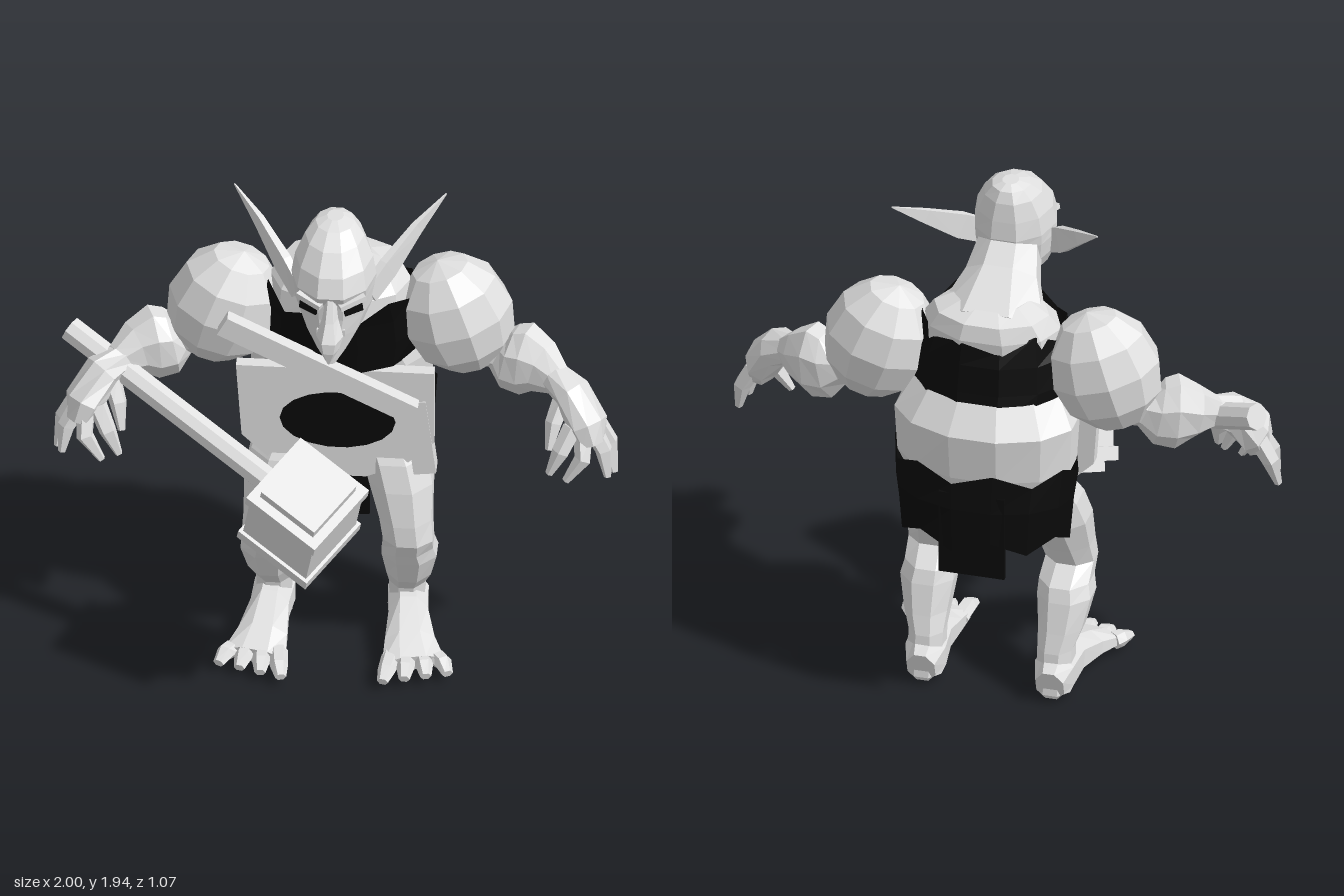
import * as THREE from 'three';

const grey = new THREE.MeshStandardMaterial({ color: 0xe0e0e0, flatShading: true, side: THREE.DoubleSide });
grey.name = 'pale grey';
const black = new THREE.MeshStandardMaterial({ color: 0x0a0a0a, flatShading: true, side: THREE.DoubleSide });
black.name = 'black cloth';

const V = (x, y, z) => new THREE.Vector3(x, y, z);

// Skin elliptical rings [x, y, z, ru, rv] placed along a path; u follows ref.
function loft(rings, { n = 8, ref = V(1, 0, 0), flat = false, caps = true, bend = null } = {}) {
  const c = rings.map(r => V(r[0], r[1], r[2]));
  const loops = rings.map((r, i) => {
    const t = flat ? V(0, 1, 0)
      : c[Math.min(i + 1, c.length - 1)].clone().sub(c[Math.max(i - 1, 0)]).normalize();
    const u = ref.clone().addScaledVector(t, -ref.dot(t)).normalize();
    const v = u.clone().cross(t);
    return Array.from({ length: n }, (_, j) => {
      const a = (j + 0.5) / n * Math.PI * 2;
      const p = c[i].clone().addScaledVector(u, r[3] * Math.sin(a)).addScaledVector(v, r[4] * Math.cos(a));
      if (bend) bend(p, i, j, a);
      return p;
    });
  });
  const pos = [];
  const tri = (...ps) => ps.forEach(p => pos.push(p.x, p.y, p.z));
  const last = loops.length - 1;
  for (let j = 0; j < n; j++) {
    const k = (j + 1) % n;
    for (let i = 0; i < last; i++) {
      const a = loops[i], b = loops[i + 1];
      tri(a[j], a[k], b[k]);
      tri(a[j], b[k], b[j]);
    }
    if (caps) {
      tri(c[0], loops[0][k], loops[0][j]);
      tri(c[last], loops[last][j], loops[last][k]);
    }
  }
  const g = new THREE.BufferGeometry();
  g.setAttribute('position', new THREE.Float32BufferAttribute(pos, 3));
  g.computeVertexNormals();
  return g;
}

function add(parent, name, geometry, material = grey) {
  const m = new THREE.Mesh(geometry, material);
  m.name = name;
  parent.add(m);
  return m;
}

function box(parent, name, size, at, material = grey) {
  const m = add(parent, name, new THREE.BoxGeometry(...size), material);
  m.position.set(...at);
  return m;
}

function buildTorso(g) {
  add(g, 'waist', loft([
    [0, 0.8, -0.27, 0.1, 0.1], [0, 0.87, -0.3, 0.26, 0.17], [0, 1, -0.3, 0.325, 0.2],
    [0, 1.18, -0.3, 0.335, 0.22], [0, 1.29, -0.25, 0.27, 0.19]], { n: 12, flat: true }));
  // shirt with a zigzag neckline leaning forward under the chin
  add(g, 'shirt', loft([
    [0, 1.21, -0.25, 0.275, 0.215], [0, 1.32, -0.23, 0.29, 0.205], [0, 1.42, -0.215, 0.28, 0.2],
    [0, 1.49, -0.2, 0.26, 0.19]], {
    n: 12, flat: true, caps: false,
    bend: (p, i, j, a) => {
      if (i < 3) return;
      p.y += j % 2 ? 0.04 : -0.015;
      p.z += 0.07 * Math.max(0, Math.cos(a)) ** 2;
    }
  }), black);
  add(g, 'upperBack', loft([
    [0, 1.42, -0.21, 0.26, 0.18], [0, 1.51, -0.22, 0.25, 0.18],
    [0, 1.57, -0.24, 0.21, 0.145], [0, 1.6, -0.21, 0.13, 0.1]], { n: 10, flat: true }));
  add(g, 'neck', loft([
    [0, 1.48, -0.24, 0.22, 0.15], [0, 1.6, -0.08, 0.14, 0.125], [0, 1.7, 0.02, 0.112, 0.105]]));

  // skirt with a ragged hem that rises over the thighs
  add(g, 'skirt', loft([
    [0, 0.735, -0.33, 0.31, 0.2], [0, 0.89, -0.33, 0.325, 0.203], [0, 1.01, -0.305, 0.335, 0.21]], {
    n: 14, flat: true, caps: false,
    bend: (p, i, j, a) => {
      if (i === 0) p.y += 0.12 * Math.max(0, Math.cos(a)) + (j % 2 ? 0.03 : -0.02);
      if (i === 2) p.y += j % 2 ? 0.025 : -0.025;
    }
  }), black);
  box(g, 'backFlap', [0.24, 0.33, 0.02], [0, 0.785, -0.505], black);
  box(g, 'frontFlap', [0.21, 0.32, 0.02], [0.005, 0.71, -0.12], black);

  // stiff apron plate with an oval patch
  const outline = [[-0.36, 1.2], [-0.34, 0.9], [-0.24, 0.8], [-0.1, 0.74], [0.1, 0.74],
    [0.24, 0.8], [0.34, 0.9], [0.34, 1.2]].map(p => new THREE.Vector2(...p));
  const apron = add(g, 'apron', new THREE.ExtrudeGeometry(new THREE.Shape(outline), { depth: 0.045, bevelEnabled: false }));
  apron.position.z = -0.12;
  const patch = add(g, 'ovalPatch', new THREE.CircleGeometry(1, 18), black);
  patch.scale.set(0.205, 0.12, 1);
  patch.position.set(0, 0.985, -0.07);

  const strap = box(g, 'strap', [0.76, 0.08, 0.05], [-0.065, 1.25, -0.015]);
  strap.rotation.z = -0.48;
  const end = box(g, 'strapEnd', [0.08, 0.31, 0.07], [0.29, 0.92, -0.105]);
  end.rotation.z = 0.12;
}

function buildHead(g) {
  add(g, 'skull', loft([
    [0, 1.45, 0.215, 0.018, 0.02], [0, 1.5, 0.165, 0.062, 0.07], [0, 1.57, 0.115, 0.108, 0.125],
    [0, 1.64, 0.09, 0.138, 0.15], [0, 1.71, 0.085, 0.148, 0.165], [0, 1.75, 0.09, 0.15, 0.18],
    [0, 1.82, 0.08, 0.138, 0.162], [0, 1.89, 0.055, 0.105, 0.125], [0, 1.93, 0.03, 0.07, 0.08],
    [0, 1.945, 0.02, 0.03, 0.035]], { n: 10, flat: true }));
  // hooked nose and pointed chin
  add(g, 'nose', loft([
    [0, 1.52, 0.33, 0.004, 0.004], [0, 1.57, 0.305, 0.035, 0.045], [0, 1.61, 0.285, 0.048, 0.065],
    [0, 1.67, 0.26, 0.028, 0.045], [0, 1.74, 0.235, 0.018, 0.025]], { n: 6, flat: true }));
  add(g, 'chin', loft([
    [0, 1.455, 0.235, 0.008, 0.008], [0, 1.51, 0.21, 0.04, 0.03], [0, 1.55, 0.195, 0.055, 0.04]],
  { n: 6, flat: true }));
  box(g, 'upperLip', [0.1, 0.025, 0.04], [0, 1.587, 0.215]);
  box(g, 'mouth', [0.08, 0.009, 0.03], [0, 1.568, 0.225], black);
  for (const s of [1, -1]) {
    const brow = box(g, 'brow', [0.1, 0.02, 0.03], [s * 0.075, 1.722, 0.23]);
    brow.rotation.set(0, s * 0.5, s * 0.22);
    const eye = box(g, 'eye', [0.07, 0.03, 0.009], [s * 0.08, 1.69, 0.23], black);
    eye.rotation.set(0, s * 0.5, s * 0.12);
    add(g, 'ear', loft([
      [s * 0.125, 1.665, 0.1, 0.06, 0.02], [s * 0.185, 1.725, 0.02, 0.065, 0.022],
      [s * 0.28, 1.82, -0.1, 0.036, 0.015], [s * 0.375, 1.9, -0.2, 0.003, 0.003]],
    { n: 4, ref: V(0, 1, 0) }));
  }
}

function buildArm(g, s) {
  const side = s > 0 ? 'left' : 'right';
  const zRef = { n: 8, ref: V(0, 0, 1) };
  const shoulder = add(g, side + 'Shoulder', new THREE.SphereGeometry(0.206, 10, 6));
  shoulder.position.set(s * 0.41, 1.37, -0.22);
  shoulder.rotation.z = s * 0.3;
  shoulder.scale.set(1, 1.13, 0.9);
  add(g, side + 'Forearm', loft([
    [s * 0.47, 1.27, -0.21, 0.1, 0.1], [s * 0.56, 1.23, -0.21, 0.07, 0.08],
    [s * 0.6, 1.21, -0.195, 0.095, 0.13], [s * 0.66, 1.21, -0.18, 0.1, 0.145],
    [s * 0.72, 1.2, -0.15, 0.08, 0.105], [s * 0.78, 1.18, -0.1, 0.05, 0.06]], zRef));
  add(g, side + 'Palm', loft([
    [s * 0.75, 1.195, -0.12, 0.05, 0.055], [s * 0.83, 1.16, -0.06, 0.08, 0.065],
    [s * 0.89, 1.07, 0, 0.1, 0.07], [s * 0.905, 1.01, 0.02, 0.08, 0.05]], zRef));
  // knuckle, joint and tip of each finger, thumb last
  const fingers = [
    [0.92, 1.05, -0.04, 0.965, 0.97, -0.04, 0.985, 0.86, -0.01],
    [0.91, 1.05, 0.01, 0.95, 0.98, 0.03, 0.965, 0.88, 0.05],
    [0.88, 1.05, 0.05, 0.88, 0.98, 0.09, 0.82, 0.89, 0.1],
    [0.84, 1.08, 0.04, 0.8, 1.0, 0.08, 0.76, 0.91, 0.09],
    [0.8, 1.14, -0.06, 0.77, 1.06, -0.01, 0.755, 0.97, 0.03]];
  for (const f of fingers) add(g, side + 'Finger', loft([
    [s * f[0], f[1], f[2], 0.036, 0.036], [s * f[3], f[4], f[5], 0.032, 0.032],
    [s * f[6], f[7], f[8], 0.014, 0.014]], { n: 5, ref: V(0, 0, 1) }));
}

function buildLeg(g, s) {
  const side = s > 0 ? 'left' : 'right';
  add(g, side + 'Leg', loft([
    [s * 0.235, 0.04, -0.25, 0.068, 0.08], [s * 0.235, 0.2, -0.23, 0.068, 0.08],
    [s * 0.245, 0.27, -0.19, 0.085, 0.1], [s * 0.25, 0.38, -0.15, 0.105, 0.11],
    [s * 0.245, 0.43, -0.13, 0.098, 0.11], [s * 0.25, 0.49, -0.08, 0.095, 0.085],
    [s * 0.24, 0.57, -0.105, 0.1, 0.105], [s * 0.22, 0.7, -0.155, 0.122, 0.135],
    [s * 0.195, 0.8, -0.19, 0.125, 0.14], [s * 0.14, 0.94, -0.27, 0.12, 0.14]], { flat: true }));
  add(g, side + 'Foot', loft([
    [s * 0.235, 0.08, -0.325, 0.055, 0.07], [s * 0.235, 0.1, -0.26, 0.078, 0.1],
    [s * 0.245, 0.1, -0.14, 0.074, 0.09], [s * 0.26, 0.075, -0.01, 0.095, 0.06],
    [s * 0.28, 0.055, 0.09, 0.12, 0.035]]));
  for (let i = 0; i < 4; i++) {
    const x = 0.2 + i * 0.055, tip = 0.18 + i * 0.075, z = 0.2 - i * 0.022;
    add(g, side + 'Toe', loft([
      [s * x, 0.06, 0.06, 0.035, 0.032], [s * (x + tip) / 2, 0.06, z - 0.05, 0.032, 0.032],
      [s * tip, 0.048, z, 0.02, 0.016]], { n: 6 }));
  }
}

function buildHammer(g) {
  const hammer = new THREE.Group();
  hammer.name = 'hammer';
  // local x runs along the handle, local y through the striking faces
  const x = V(0.77, -0.35, 0.42).normalize();
  const z = x.clone().cross(V(0.11, 0.884, 0.456)).normalize();
  hammer.quaternion.setFromRotationMatrix(new THREE.Matrix4().makeBasis(x, z.clone().cross(x), z));
  hammer.position.set(-0.095, 0.825, 0.28);
  const handle = add(hammer, 'handle', new THREE.CylinderGeometry(0.048, 0.048, 1.06, 8));
  handle.rotation.z = Math.PI / 2;
  handle.position.set(-0.535, 0.02, -0.01);
  box(hammer, 'hammerBlock', [0.285, 0.3, 0.285], [0, 0, 0]);
  for (const s of [1, -1]) {
    box(hammer, 'hammerRim', [0.31, 0.05, 0.31], [0, s * 0.14, 0]);
    box(hammer, 'hammerFace', [0.24, 0.05, 0.24], [0, s * 0.18, 0]);
  }
  g.add(hammer);
}

export function createModel() {
  const model = new THREE.Group();
  model.name = 'hammerGoblin';
  buildTorso(model);
  buildHead(model);
  for (const s of [1, -1]) {
    buildArm(model, s);
    buildLeg(model, s);
  }
  buildHammer(model);
  return model;
}
